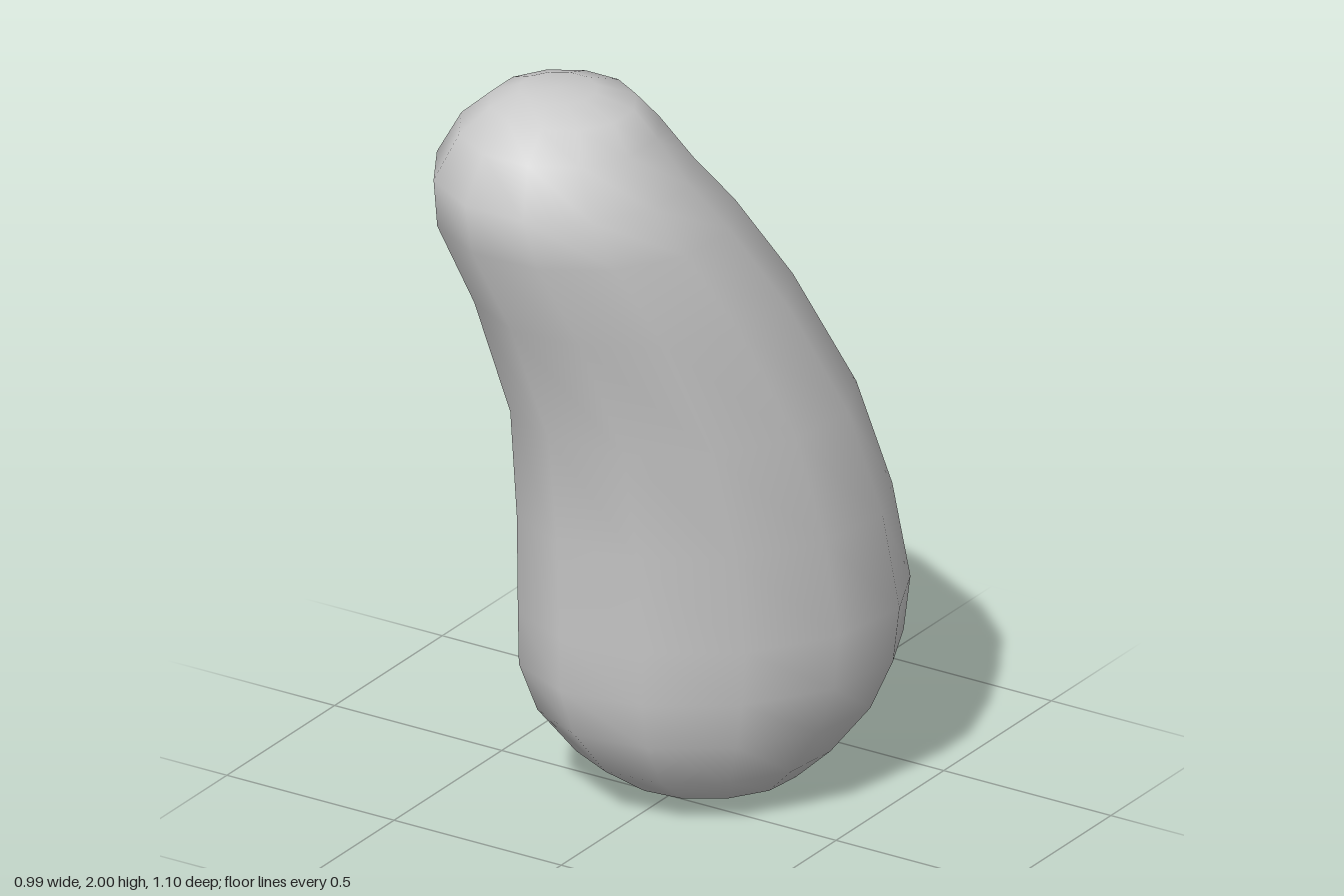
import * as THREE from 'three';

// Cross-sections from bottom to top: height, centre x, centre z,
// half-length along the bend, half-width across it
const SECTIONS = [
  [0.015, 0.068, -0.115, 0.14, 0.11],
  [0.05, 0.066, -0.1, 0.225, 0.18],
  [0.13, 0.05, -0.097, 0.335, 0.27],
  [0.25, 0.047, -0.11, 0.44, 0.335],
  [0.38, 0.052, -0.116, 0.495, 0.363],
  [0.53, 0.062, -0.114, 0.505, 0.366],
  [0.8, 0.054, -0.082, 0.483, 0.364],
  [1.1, 0.025, -0.028, 0.445, 0.364],
  [1.42, -0.056, 0.077, 0.41, 0.364],
  [1.65, -0.131, 0.181, 0.383, 0.358],
  [1.78, -0.17, 0.226, 0.334, 0.336],
  [1.9, -0.178, 0.233, 0.258, 0.26],
  [1.965, -0.175, 0.22, 0.188, 0.19],
  [1.995, -0.19, 0.22, 0.1, 0.1],
];
const SIDES = 12;

// Smooth closed skin through elliptical rings, turned to the diagonal bend
function loft(sections, sides) {
  const pos = [], index = [], d = Math.SQRT1_2;
  for (const [y, cx, cz, a, b] of sections) {
    for (let i = 0; i < sides; i++) {
      const t = (i / sides) * Math.PI * 2;
      const u = a * Math.cos(t), v = b * Math.sin(t);
      pos.push(cx + d * (u + v), y, cz + d * (v - u));
    }
  }
  // Side faces between neighbouring rings
  for (let r = 0; r < sections.length - 1; r++) {
    for (let i = 0; i < sides; i++) {
      const p = r * sides + i, q = r * sides + (i + 1) % sides;
      index.push(p, p + sides, q + sides, p, q + sides, q);
    }
  }
  // End caps
  const last = (sections.length - 1) * sides;
  const [, bx, bz] = sections[0];
  const [, tx, tz] = sections[sections.length - 1];
  const bottom = pos.length / 3, top = bottom + 1;
  pos.push(bx, 0, bz, tx, 2, tz);
  for (let i = 0; i < sides; i++) {
    const j = (i + 1) % sides;
    index.push(bottom, i, j, top, last + j, last + i);
  }
  const geo = new THREE.BufferGeometry();
  geo.setAttribute('position', new THREE.Float32BufferAttribute(pos, 3));
  geo.setIndex(index);
  geo.computeVertexNormals();
  return geo;
}

export function createModel() {
  const group = new THREE.Group();
  group.name = 'bentCapsule';
  const body = new THREE.Mesh(
    loft(SECTIONS, SIDES),
    new THREE.MeshStandardMaterial({ color: 0xcccccc })
  );
  body.name = 'body';
  group.add(body);
  return group;
}
